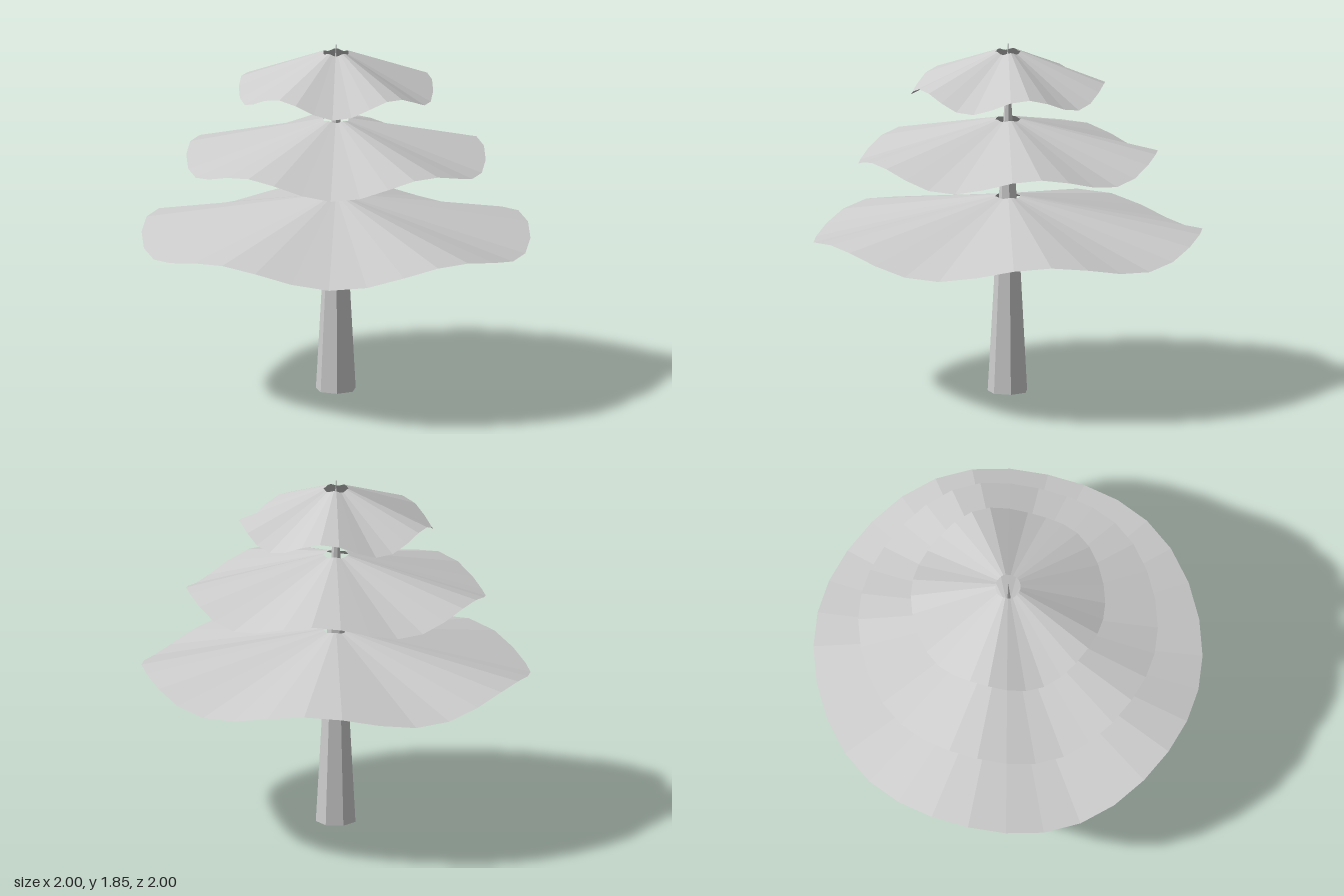
import * as THREE from 'three';

const grey = new THREE.MeshStandardMaterial({ color: 0xcccccc, side: THREE.DoubleSide, flatShading: true });
grey.name = 'plain grey';

const HOLE = 0.065; // radius of the opening around the trunk
const LOBES = 5;

// Shallow skirt of branches: open cone whose rim waves up and down
function branchTier(name, radius, topY, rimY, wave) {
  const geometry = new THREE.CylinderGeometry(HOLE, radius, topY - rimY, 32, 1, true);
  geometry.translate(0, (topY + rimY) / 2, 0);
  const p = geometry.attributes.position;
  for (let i = 0; i < p.count; i++) {
    const r = Math.hypot(p.getX(i), p.getZ(i));
    const angle = Math.atan2(p.getX(i), p.getZ(i));
    p.setY(i, p.getY(i) + wave * (r / radius) * Math.cos(LOBES * angle));
  }
  geometry.computeVertexNormals();
  const mesh = new THREE.Mesh(geometry, grey);
  mesh.name = name;
  return mesh;
}

export function createModel() {
  const tree = new THREE.Group();
  tree.name = 'tree';

  // Seven-sided trunk tapering to a point, open underneath
  const trunk = new THREE.Mesh(new THREE.ConeGeometry(0.105, 1.85, 7, 1, true, Math.PI / 2), grey);
  trunk.name = 'trunk';
  trunk.position.y = 0.925;
  tree.add(trunk);

  // Three tiers of branches
  tree.add(
    branchTier('lowerBranches', 1, 1.025, 0.817, 0.042),
    branchTier('middleBranches', 0.77, 1.43, 1.23, 0.042),
    branchTier('upperBranches', 0.5, 1.785, 1.592, 0.042),
  );
  return tree;
}
